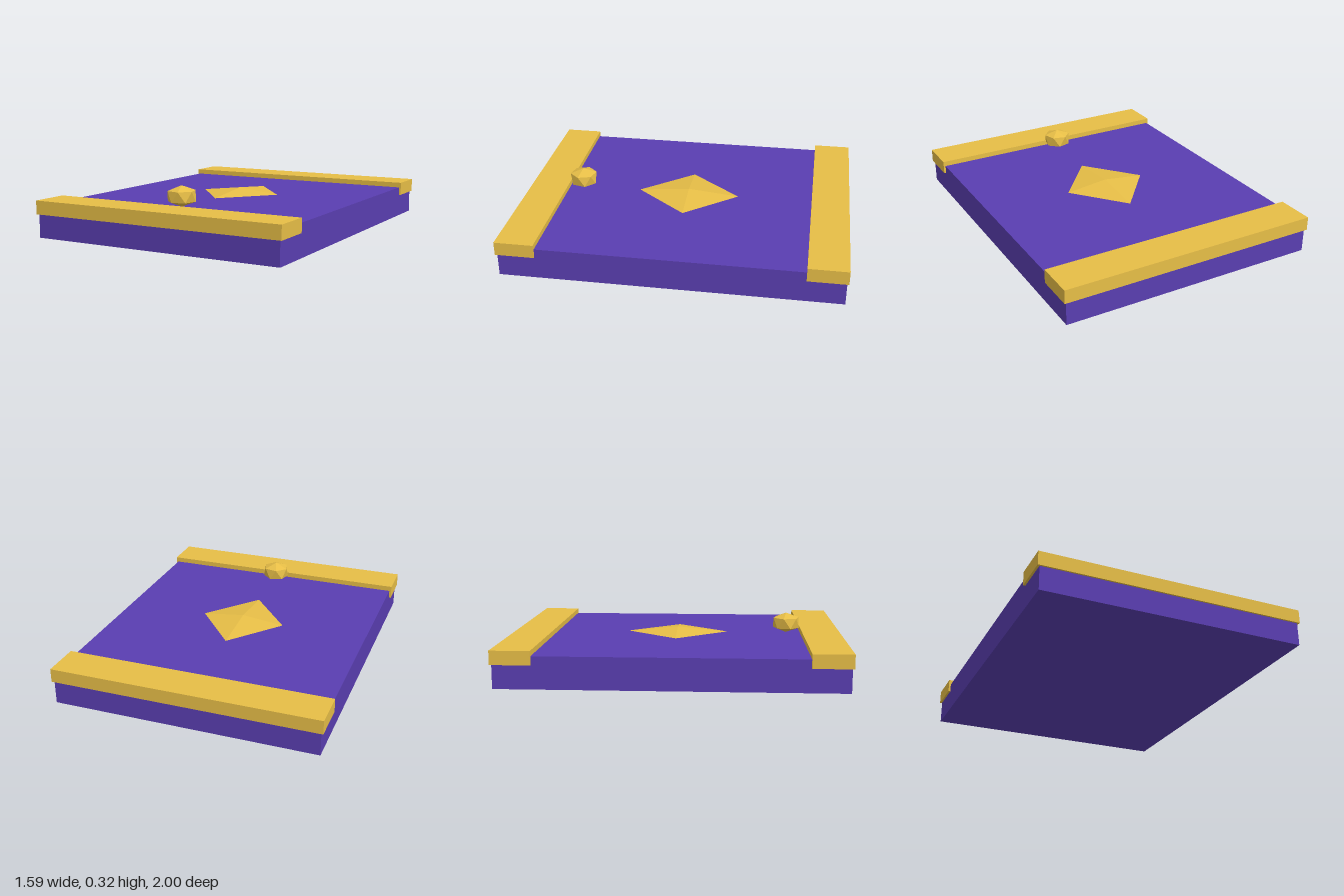
import * as THREE from 'three';
import { ConvexGeometry } from 'three/addons/geometries/ConvexGeometry.js';

export function createModel() {
  const purple = new THREE.MeshStandardMaterial({ color: 0x5a3eb1, flatShading: true });
  purple.name = 'purple';
  const gold = new THREE.MeshStandardMaterial({ color: 0xe8bf47, flatShading: true });
  gold.name = 'gold';

  const model = new THREE.Group();
  model.name = 'ornateSlab';

  const add = (name, geometry, material, x, y, z) => {
    const mesh = new THREE.Mesh(geometry, material);
    mesh.name = name;
    mesh.position.set(x, y, z);
    model.add(mesh);
  };

  // Main slab
  add('slab', new THREE.BoxGeometry(1.56, 0.188, 1.98), purple, 0, 0.094, 0);

  // Raised bands across the front and back ends
  for (const [name, side] of [['frontBand', 1], ['backBand', -1]]) {
    add(name, new THREE.BoxGeometry(1.585, 0.081, 0.23), gold, 0, 0.179, side * 0.885);
  }

  // Low four-sided pyramid floating just above the middle
  const diamond = new THREE.ConeGeometry(1, 0.03, 4);
  diamond.scale(0.26, 1, 0.312);
  add('diamond', diamond, gold, 0, 0.215, 0);

  // Faceted stud: two staggered six-sided rings between a top and a bottom point
  const points = [new THREE.Vector3(0, 0.061, 0), new THREE.Vector3(0, -0.061, 0)];
  for (const [y, turn] of [[0.031, 13], [-0.031, 43]]) {
    for (let i = 0; i < 6; i++) {
      const a = THREE.MathUtils.degToRad(turn + i * 60);
      points.push(new THREE.Vector3(0.082 * Math.cos(a), y, 0.082 * Math.sin(a)));
    }
  }
  add('stud', new ConvexGeometry(points), gold, 0, 0.262, 0.678);

  return model;
}
